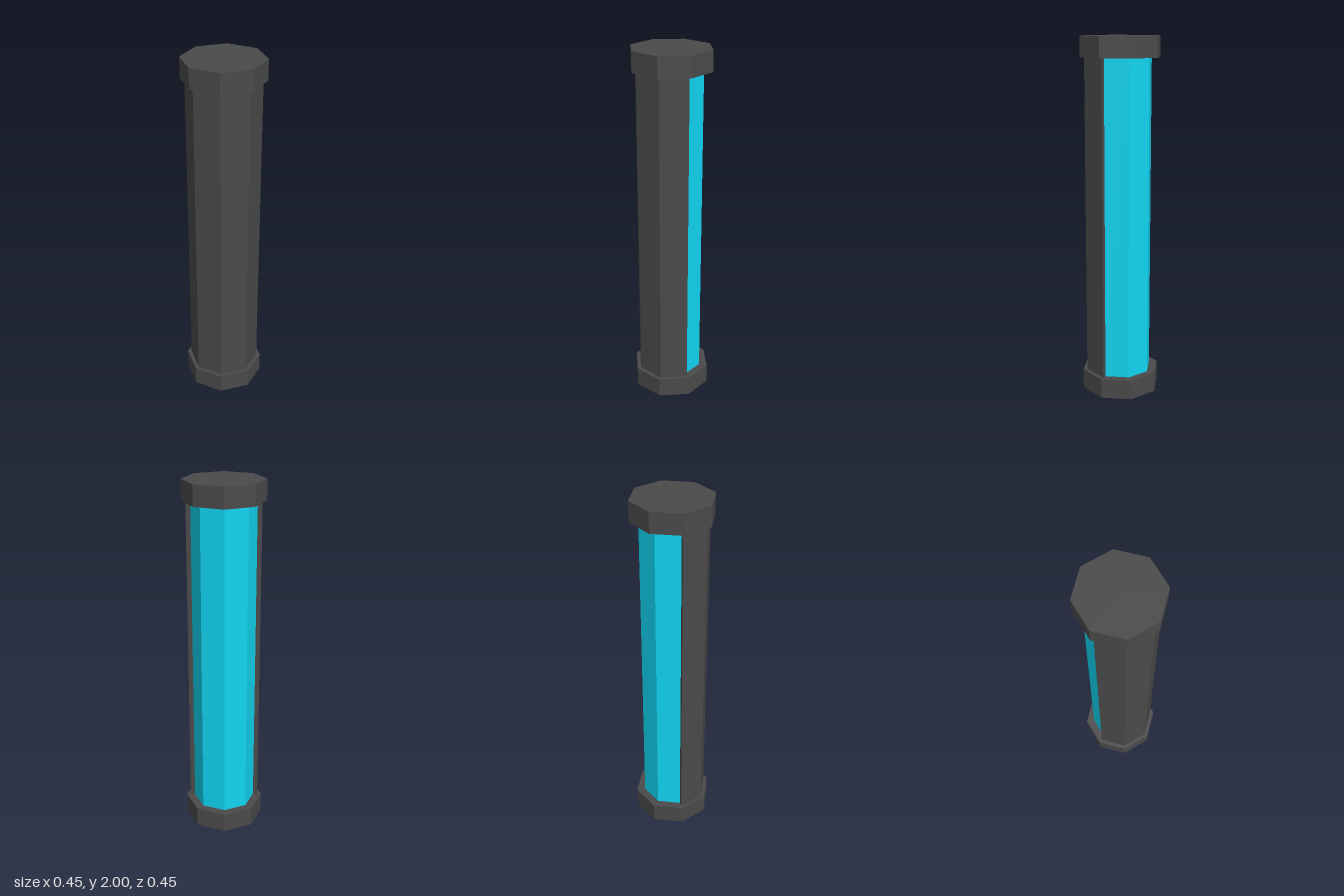
import * as THREE from 'three';

const SIDES = 8;
const CAP_R = 0.223, CAP_H = 0.112, HEIGHT = 2;
const SHELL_R = 0.2, CORE_R = 0.175;

export function createModel() {
  const model = new THREE.Group();
  const dark = new THREE.MeshStandardMaterial({ color: 0x4a4a4a, flatShading: true });
  const cyan = new THREE.MeshStandardMaterial({ color: 0x10d5f2, flatShading: true });
  const bodyH = HEIGHT - 2 * CAP_H;

  const add = (name, geometry, material, y) => {
    const mesh = new THREE.Mesh(geometry, material);
    mesh.name = name;
    mesh.position.y = y;
    model.add(mesh);
  };

  // Octagonal end caps, corners on the axes
  const capGeometry = new THREE.CylinderGeometry(CAP_R, CAP_R, CAP_H, SIDES);
  add('bottomCap', capGeometry, dark, CAP_H / 2);
  add('topCap', capGeometry, dark, HEIGHT - CAP_H / 2);

  // Coloured inner tube
  add('core', new THREE.CylinderGeometry(CORE_R, CORE_R, bodyH, SIDES), cyan, HEIGHT / 2);

  // Half shell wrapped around the front of the core
  const arc = (r) => Array.from({ length: SIDES / 2 + 1 }, (_, i) => {
    const a = (i / SIDES) * Math.PI * 2;
    return new THREE.Vector2(r * Math.cos(a), -r * Math.sin(a));
  });
  const profile = new THREE.Shape([...arc(SHELL_R), ...arc(CORE_R).reverse()]);
  const shell = new THREE.ExtrudeGeometry(profile, { depth: bodyH, bevelEnabled: false });
  shell.rotateX(-Math.PI / 2);
  add('frontShell', shell, dark, CAP_H);

  return model;
}
